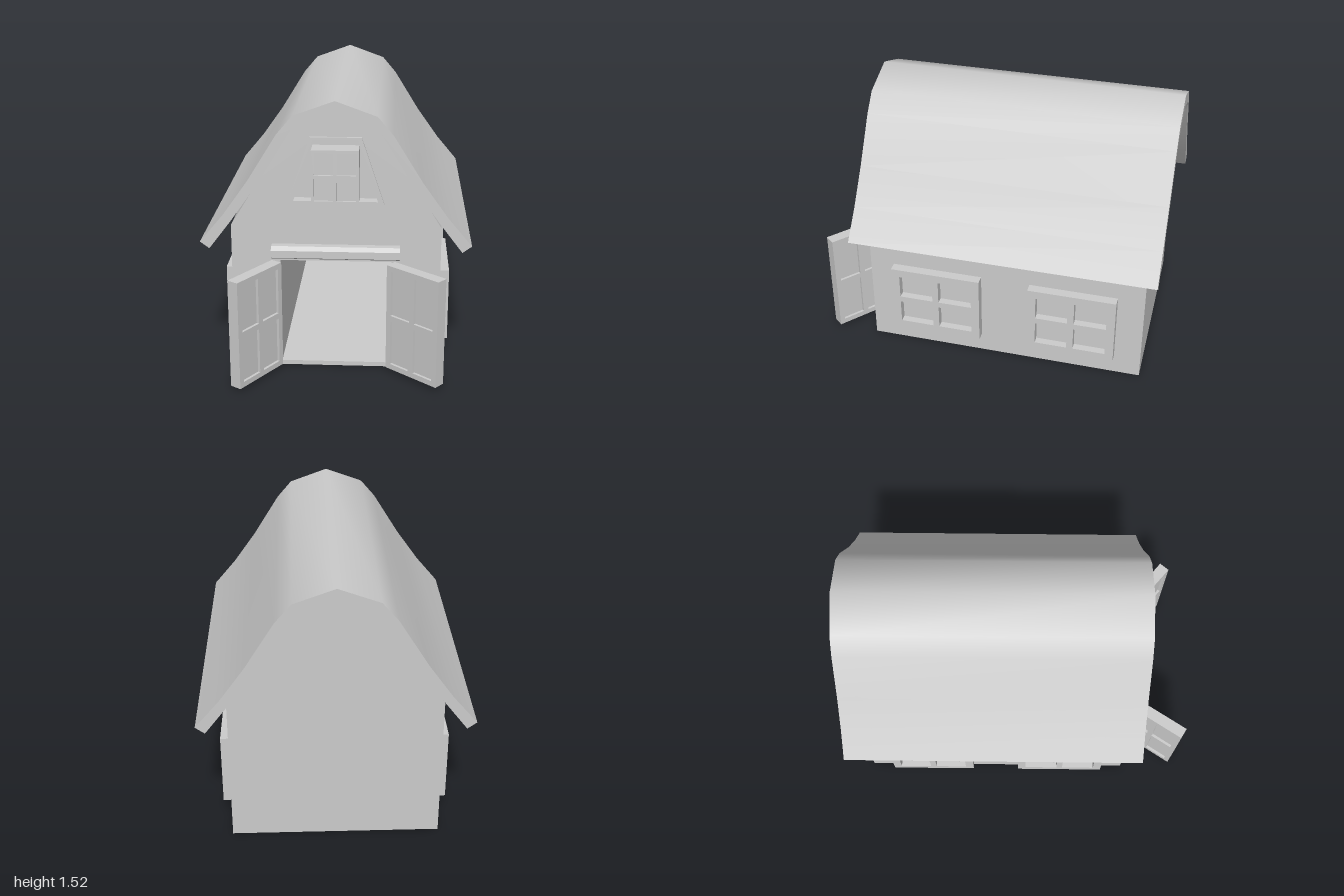
import * as THREE from 'three';
import { toCreasedNormals } from 'three/addons/utils/BufferGeometryUtils.js';

const grey = new THREE.MeshStandardMaterial({ color: 0xcccccc });

function add(parent, name, geometry) {
  const mesh = new THREE.Mesh(geometry, grey);
  mesh.name = name;
  parent.add(mesh);
  return mesh;
}

const points = (list) => list.map(([x, y]) => new THREE.Vector2(x, y));
const rect = (x0, y0, x1, y1) => points([[x0, y0], [x1, y0], [x1, y1], [x0, y1]]);

// Extrude an outline with holes from z0 to z1
function slab(outline, holes, z0, z1) {
  const shape = new THREE.Shape(outline);
  shape.holes = holes.map((h) => new THREE.Path(h));
  const geometry = new THREE.ExtrudeGeometry(shape, { depth: z1 - z0, bevelEnabled: false });
  return geometry.translate(0, 0, z0);
}

// Centred frame with two by two panes
function paneFrame(w, h, depth, border, bar) {
  const holes = [];
  for (const sx of [-1, 1]) {
    for (const sy of [-1, 1]) {
      const xs = [sx * bar / 2, sx * (w / 2 - border)].sort((a, b) => a - b);
      const ys = [sy * bar / 2, sy * (h / 2 - border)].sort((a, b) => a - b);
      holes.push(rect(xs[0], ys[0], xs[1], ys[1]));
    }
  }
  return slab(rect(-w / 2, -h / 2, w / 2, h / 2), holes, -depth / 2, depth / 2);
}

// Window: frame in front of a thin glass sheet
function makeWindow(name, w, h, depth, border, bar) {
  const group = new THREE.Group();
  group.name = name;
  add(group, 'windowFrame', paneFrame(w, h, depth, border, bar));
  add(group, 'windowGlass', new THREE.BoxGeometry(w - border, h - border, 0.01))
    .position.z = -depth / 2 + 0.012;
  return group;
}

// Door leaf with its hinge at the origin, reaching along +x
function makeDoor(name, width) {
  const height = 0.605;
  const group = new THREE.Group();
  group.name = name;
  add(group, 'doorFrame', paneFrame(width, height, 0.066, 0.03, 0.032)).position.x = width / 2;
  add(group, 'doorPanel', new THREE.BoxGeometry(width - 0.03, height - 0.03, 0.035)).position.x = width / 2;
  group.position.y = 0.02 + height / 2;
  return group;
}

export function createModel() {
  const barn = new THREE.Group();
  barn.name = 'barn';

  // Walls in three layers: closed back, hollow middle, front with an attic recess
  const gable = points([
    [-0.565, 0], [0.565, 0], [0.565, 0.82], [0.4, 1.09], [0.225, 1.37],
    [0, 1.45], [-0.225, 1.37], [-0.4, 1.09], [-0.565, 0.82],
  ]);
  const doorway = rect(-0.3, 0.025, 0.3, 0.625);
  const recess = points([[-0.225, 0.968], [0.225, 0.968], [0.118, 1.302], [-0.118, 1.302]]);
  add(barn, 'backWall', slab(gable, [], -0.93, -0.88));
  add(barn, 'mainWalls', slab(gable, [doorway], -0.88, 0.61));
  add(barn, 'frontWall', slab(gable, [doorway, recess], 0.61, 0.66));

  // Gambrel roof shell
  const outer = [[0.725, 0.745], [0.595, 0.9], [0.46, 1.09], [0.305, 1.34], [0.22, 1.44]];
  const inner = [[0.225, 1.37], [0.275, 1.29], [0.41, 1.07], [0.555, 0.865], [0.675, 0.708]];
  const mirror = (list) => list.map(([x, y]) => [-x, y]).reverse();
  const roof = slab(points([
    ...outer, [0, 1.52], ...mirror(outer), ...mirror(inner), [0, 1.45], ...inner,
  ]), [], -1, 0.72);
  add(barn, 'roof', toCreasedNormals(roof, 0.8));

  // Attic window and its tapered surround
  const surround = points([[-0.258, 0.955], [0.258, 0.955], [0.137, 1.317], [-0.137, 1.317]]);
  add(barn, 'atticSurround', slab(surround, [recess], 0.655, 0.675));
  const attic = makeWindow('atticWindow', 0.25, 0.29, 0.115, 0.014, 0.018);
  attic.children[1].position.z = 0.04;
  attic.position.set(0, 1.115, 0.667);
  barn.add(attic);

  // Sloping canopy over the doorway
  const canopy = slab(points([[0.65, 0.72], [0.65, 0.645], [0.69, 0.645], [0.72, 0.66], [0.72, 0.70], [0.70, 0.72]]),
    [], -0.345, 0.345);
  add(barn, 'doorCanopy', canopy.rotateY(-Math.PI / 2));

  // Two windows on each side wall
  for (const side of [-1, 1]) {
    for (const [z, w] of [[0.26, 0.52], [-0.53, 0.5]]) {
      const win = makeWindow(side > 0 ? 'leftWindow' : 'rightWindow', w, 0.41, 0.06, 0.048, 0.036);
      win.rotation.y = side * Math.PI / 2;
      win.position.set(side * 0.59, 0.32, z);
      barn.add(win);
    }
  }

  // Doors swung open by different amounts
  const leftDoor = makeDoor('leftDoor', 0.35);
  leftDoor.position.x = 0.298;
  leftDoor.position.z = 0.682;
  leftDoor.rotation.y = -0.7;
  const rightDoor = makeDoor('rightDoor', 0.36);
  rightDoor.position.x = -0.32;
  rightDoor.position.z = 0.68;
  rightDoor.rotation.y = Math.PI + 1.0;
  barn.add(leftDoor, rightDoor);

  return barn;
}
